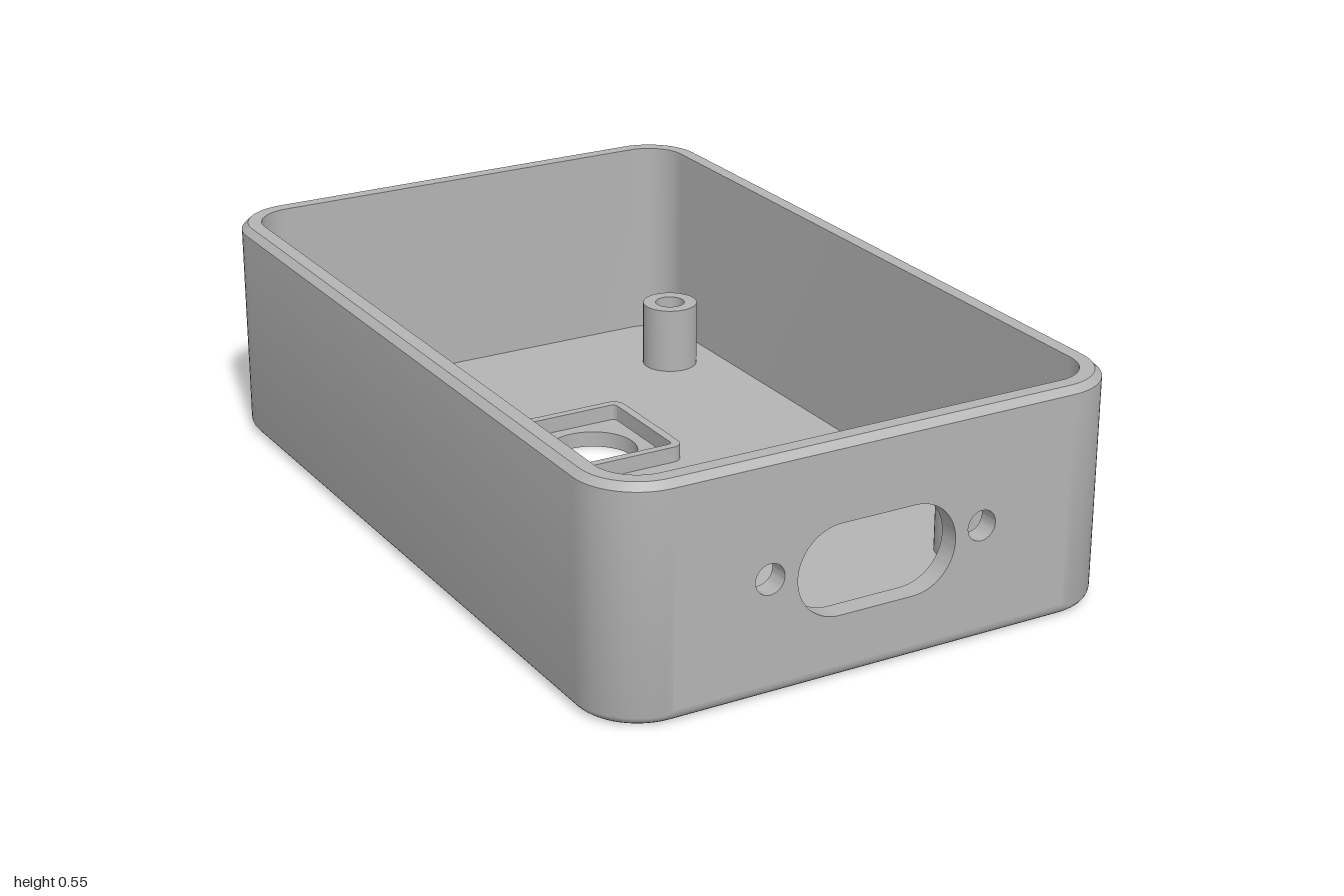
import * as THREE from 'three';
import { mergeGeometries, toCreasedNormals } from 'three/addons/utils/BufferGeometryUtils.js';

const W = 0.65, D = 1, H = 0.55;            // half width, half depth, height
const R = 0.15, WALL = 0.05, FLOOR = 0.04;  // corner radius, thicknesses
const FILLET = 0.03, CHAMFER = 0.016;
const BOSS_R = 0.071, BORE_R = 0.038, RECESS_R = 0.063;
const HOLE_R = 0.113, HOLE_Z = -0.257;
const BOSSES = [[-0.465, -0.675], [0.465, -0.675], [-0.465, 0.675], [0.465, 0.675]];

// Rounded-rectangle outline [x, z], from the front left corner round the back to the front right
function outline(inset) {
  const pts = [], r = R - inset, n = 14;
  [[1, 1], [1, -1], [-1, -1], [-1, 1]].forEach(([sx, sz], k) => {
    for (let i = 0; i <= n; i++) {
      const a = Math.PI / 2 * (1 - k - i / n);
      pts.push([sx * (W - R) + r * Math.cos(a), sz * (D - R) + r * Math.sin(a)]);
    }
  });
  return pts;
}

// Sweeps a profile of [inset, y] round the outline; open leaves a gap for the front panel
function sweep(profile, closed) {
  const pos = [], index = [];
  let cols = 0;
  for (const [inset, y] of profile) {
    const ring = outline(inset);
    if (closed) ring.push(ring[0]);
    cols = ring.length;
    for (const [x, z] of ring) pos.push(x, y, z);
  }
  for (let j = 0; j < profile.length - 1; j++) {
    for (let i = 0; i < cols - 1; i++) {
      const a = j * cols + i, d = a + cols;
      index.push(a, a + 1, d + 1, a, d + 1, d);
    }
  }
  const g = new THREE.BufferGeometry();
  g.setAttribute('position', new THREE.Float32BufferAttribute(pos, 3));
  g.setIndex(index);
  return g;
}

function circle(x, y, r) {
  return new THREE.Path().absarc(x, y, r, 0, Math.PI * 2, true);
}

function roundedSquare(path, h, r, cy) {
  path.absarc(h - r, cy + h - r, r, 0, Math.PI / 2);
  path.absarc(-h + r, cy + h - r, r, Math.PI / 2, Math.PI);
  path.absarc(-h + r, cy - h + r, r, Math.PI, Math.PI * 1.5);
  path.absarc(h - r, cy - h + r, r, Math.PI * 1.5, Math.PI * 2);
  path.closePath();
  return path;
}

// Flat floor face with holes, turned to look up (1) or down (-1)
function floorFace(inset, bossHole, up) {
  const shape = new THREE.Shape(outline(inset).map(([x, z]) => new THREE.Vector2(x, -up * z)));
  for (const [x, z] of BOSSES) shape.holes.push(circle(x, -up * z, bossHole));
  shape.holes.push(circle(0, -up * HOLE_Z, HOLE_R));
  return new THREE.ShapeGeometry(shape, 20).rotateX(-up * Math.PI / 2);
}

function lathe(points) {
  return toCreasedNormals(
    new THREE.LatheGeometry(points.map(([x, y]) => new THREE.Vector2(x, y)), 40), 0.5);
}

export function createModel() {
  const group = new THREE.Group();
  const grey = new THREE.MeshStandardMaterial({ color: 0xb4b4b4 });
  grey.name = 'grey plastic';
  const add = (name, geometry, x = 0, y = 0, z = 0) => {
    const mesh = new THREE.Mesh(geometry, grey);
    mesh.name = name;
    mesh.position.set(x, y, z);
    group.add(mesh);
  };

  // Walls: rounded bottom edge, outer skin, chamfered rim, inner skin
  const fillet = [];
  for (let i = 0; i <= 6; i++) {
    const a = i / 6 * Math.PI / 2;
    fillet.push([FILLET * (1 - Math.sin(a)), FILLET * (1 - Math.cos(a))]);
  }
  const rimY = H - CHAMFER;
  add('walls', toCreasedNormals(mergeGeometries([
    sweep(fillet, true),
    sweep([[0, FILLET], [0, rimY]], false),
    sweep([[0, rimY], [CHAMFER, H], [WALL, H], [WALL, rimY]], true),
    sweep([[WALL, rimY], [WALL, FLOOR]], false),
  ]), 0.5));

  // Front panel with connector slot and two screw holes
  const half = W - R, slotR = 0.107, slotX = 0.093, slotY = 0.257;
  const panel = new THREE.Shape([[-half, FILLET], [half, FILLET], [half, rimY], [-half, rimY]]
    .map(([x, y]) => new THREE.Vector2(x, y)));
  const slot = new THREE.Path();
  slot.absarc(slotX, slotY, slotR, -Math.PI / 2, Math.PI / 2);
  slot.absarc(-slotX, slotY, slotR, Math.PI / 2, Math.PI * 1.5);
  slot.closePath();
  panel.holes.push(slot, circle(-0.268, 0.276, 0.036), circle(0.268, 0.276, 0.036));
  add('frontPanel', toCreasedNormals(new THREE.ExtrudeGeometry(panel,
    { depth: WALL, bevelEnabled: false, curveSegments: 20 }), 0.5), 0, 0, D - WALL);

  // Floor
  add('floorTop', floorFace(WALL, BOSS_R, 1), 0, FLOOR, 0);
  add('floorUnderside', floorFace(FILLET, RECESS_R, -1));
  add('centreHole', lathe([[HOLE_R, FLOOR], [HOLE_R, 0]]), 0, 0, HOLE_Z);

  // Screw bosses, bored through and recessed from below
  const boss = lathe([[BOSS_R, FLOOR], [BOSS_R, 0.21], [BORE_R, 0.21],
    [BORE_R, 0.085], [RECESS_R, 0.085], [RECESS_R, 0]]);
  for (const [x, z] of BOSSES) add('screwBoss', boss, x, 0, z);

  // Raised square rim round the centre hole
  const rim = roundedSquare(new THREE.Shape(), 0.167, 0.03, -HOLE_Z);
  rim.holes.push(roundedSquare(new THREE.Path(), 0.145, 0.012, -HOLE_Z));
  add('squareRim', toCreasedNormals(new THREE.ExtrudeGeometry(rim,
    { depth: 0.04, bevelEnabled: false, curveSegments: 8 }).rotateX(-Math.PI / 2), 0.5), 0, FLOOR, 0);

  return group;
}
